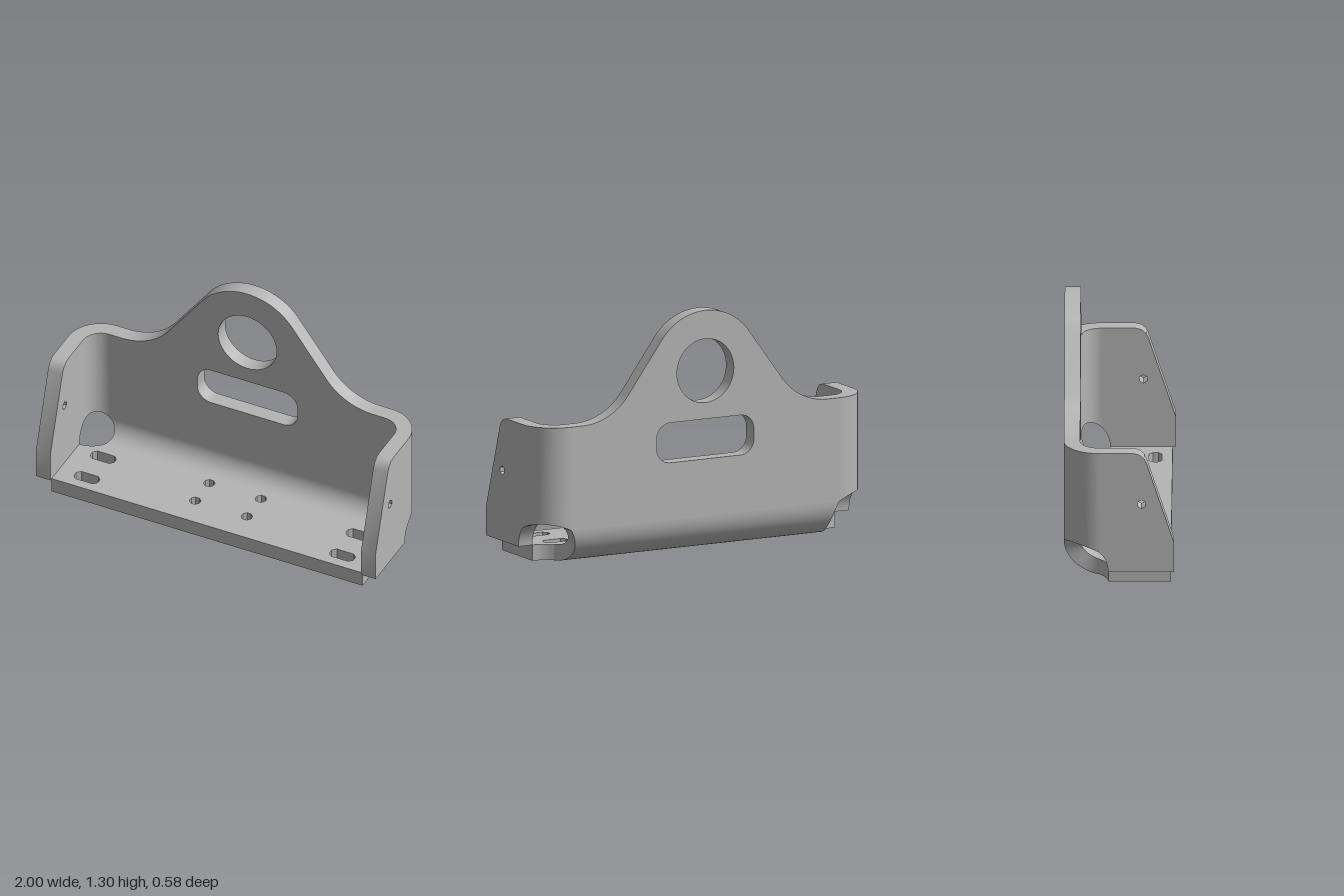
import * as THREE from 'three';
import { toCreasedNormals } from 'three/addons/utils/BufferGeometryUtils.js';

const T = 0.085;                 // sheet thickness
const R_OUT = 0.19, R_IN = R_OUT - T;
const AXIS = { x: 0.81, y: 0.19, z: -0.1 };           // bend centre lines
const INNER = { x: 0.915, y: T, z: -0.205 };          // inside corner of the tray
const RELIEF = 0.15;             // radius of the corner relief cut

const V = (x, y) => new THREE.Vector2(x, y);

// closed polygon hole; stretch > 0 pulls it into a slot along the first axis
function polyHole(cx, cy, r, sides, stretch = 0) {
  const pts = [];
  for (let i = 0; i < sides; i++) {
    const a = ((i + 0.5) / sides) * Math.PI * 2;
    pts.push(V(cx + Math.cos(a) * r + Math.sign(Math.cos(a)) * stretch, cy + Math.sin(a) * r));
  }
  return new THREE.Path().setFromPoints(pts);
}

function sheet(shape) {
  return new THREE.ExtrudeGeometry(shape, { depth: T, bevelEnabled: false, curveSegments: 24 });
}

// relief arc points from angle a0 to a1 around (cx, cy)
function arcPoints(cx, cy, a0, a1, n = 6) {
  return Array.from({ length: n + 1 }, (_, i) => {
    const a = a0 + ((a1 - a0) * i) / n;
    return V(cx + RELIEF * Math.cos(a), cy + RELIEF * Math.sin(a));
  });
}

// quarter bend: section(angle) gives four corners, swept with sharp long edges
function bend(section, flip = false, steps = 16) {
  const pos = [], index = [];
  for (let side = 0; side < 4; side++) {
    const base = pos.length / 3;
    for (let i = 0; i <= steps; i++) {
      const c = section((i / steps) * Math.PI / 2);
      pos.push(...c[side], ...c[(side + 1) % 4]);
    }
    for (let i = 0; i < steps; i++) {
      const p = base + i * 2, q = p + 1, r = p + 2, s = p + 3;
      index.push(...(flip ? [p, r, q, q, r, s] : [p, q, r, q, s, r]));
    }
  }
  const g = new THREE.BufferGeometry();
  g.setAttribute('position', new THREE.Float32BufferAttribute(pos, 3));
  g.setIndex(index);
  g.computeVertexNormals();
  return g;
}

// how far the relief reaches at a given bend angle
function reliefReach(a) {
  const u = R_IN * (1 - Math.cos(a)), v = R_IN * (1 - Math.sin(a));
  return Math.sqrt(RELIEF * RELIEF - u * u - v * v);
}

export function createModel() {
  const group = new THREE.Group();
  const steel = new THREE.MeshStandardMaterial({ color: 0xb5b5b5 });
  steel.name = 'steel grey';
  const add = (name, geo) => {
    const m = new THREE.Mesh(geo, steel);
    m.name = name;
    group.add(m);
  };
  const creased = (g) => toCreasedNormals(g, 0.5);

  // back plate with raised lifting eye
  const lean = 0.632;            // slope angle of the shoulder normals
  const plate = new THREE.Shape();
  plate.moveTo(-AXIS.x, AXIS.y);
  plate.lineTo(AXIS.x, AXIS.y);
  plate.lineTo(AXIS.x, 0.75);
  plate.absarc(0.74, 1.09, 0.34, Math.PI * 1.5, Math.PI + lean, true);
  plate.absarc(0, 0.975, 0.325, lean, Math.PI - lean, false);
  plate.absarc(-0.74, 1.09, 0.34, -lean, -Math.PI / 2, true);
  plate.lineTo(-AXIS.x, 0.75);
  plate.closePath();
  const eye = new THREE.Path();
  eye.absarc(0, 0.975, 0.172, 0, Math.PI * 2, false);
  const slot = new THREE.Path();
  const sx = 0.212, r = 0.082;
  slot.absarc(sx, 0.633, r, 0, Math.PI / 2, false);
  slot.absarc(-sx, 0.633, r, Math.PI / 2, Math.PI, false);
  slot.absarc(-sx, 0.582, r, Math.PI, Math.PI * 1.5, false);
  slot.absarc(sx, 0.582, r, Math.PI * 1.5, Math.PI * 2, false);
  slot.closePath();
  plate.holes.push(eye, slot);
  add('backPlate', creased(sheet(plate).translate(0, 0, -0.29)));

  // base plate, drawn with shape y = -z
  const w = INNER.x;
  const cut = Math.asin(R_IN / RELIEF);
  const rightEdge = arcPoints(w, -INNER.z, -Math.PI / 2, -Math.PI + cut);
  const leftEdge = rightEdge.map((p) => V(-p.x, p.y)).reverse();
  const base = new THREE.Shape([V(-w, -0.275), V(w, -0.275), ...rightEdge, ...leftEdge]);
  for (const s of [-1, 1]) {
    for (const z of [-0.01, 0.185]) base.holes.push(polyHole(s * 0.752, -z, 0.037, 8, 0.036));
    for (const z of [-0.058, 0.11]) base.holes.push(polyHole(s * 0.152, -z, 0.031, 8));
  }
  add('basePlate', creased(sheet(base).rotateX(-Math.PI / 2)));

  // long bend joining base and back plate
  add('baseBend', bend((a) => {
    const x = w - reliefReach(a);
    const at = (rad) => [AXIS.y - rad * Math.cos(a), AXIS.z - rad * Math.sin(a)];
    const o = at(R_OUT), n = at(R_IN);
    return [[x, ...o], [-x, ...o], [-x, ...n], [x, ...n]];
  }));

  // side flanges, drawn with shape x = z
  const flange = new THREE.Shape([
    ...arcPoints(INNER.z, T, Math.PI / 2 - Math.acos(RELIEF ? Math.cos(cut) : 0) , 0).map((p) => p),
    V(0.292, T), V(0.292, 0.25), V(0.147, 0.695), V(0.135, 0.72), V(0.11, 0.742), V(0.08, 0.75),
    V(AXIS.z, 0.75),
  ]);
  flange.holes.push(polyHole(0.12, 0.465, 0.024, 6));
  for (const s of [1, -1]) {
    const side = s > 0 ? 'left' : 'right';
    add(side + 'Flange', creased(sheet(flange).rotateY(-Math.PI / 2).translate(s > 0 ? 1 : -w, 0, 0)));

    // upright corner bend, trimmed below by the relief
    add(side + 'CornerBend', bend((a) => {
      const y = T + reliefReach(a);
      const at = (rad, h) => [s * (AXIS.x + rad * Math.cos(a)), h, AXIS.z - rad * Math.sin(a)];
      return [at(R_OUT, 0.75), at(R_OUT, y), at(R_IN, y), at(R_IN, 0.75)];
    }, s < 0));
  }
  return group;
}
